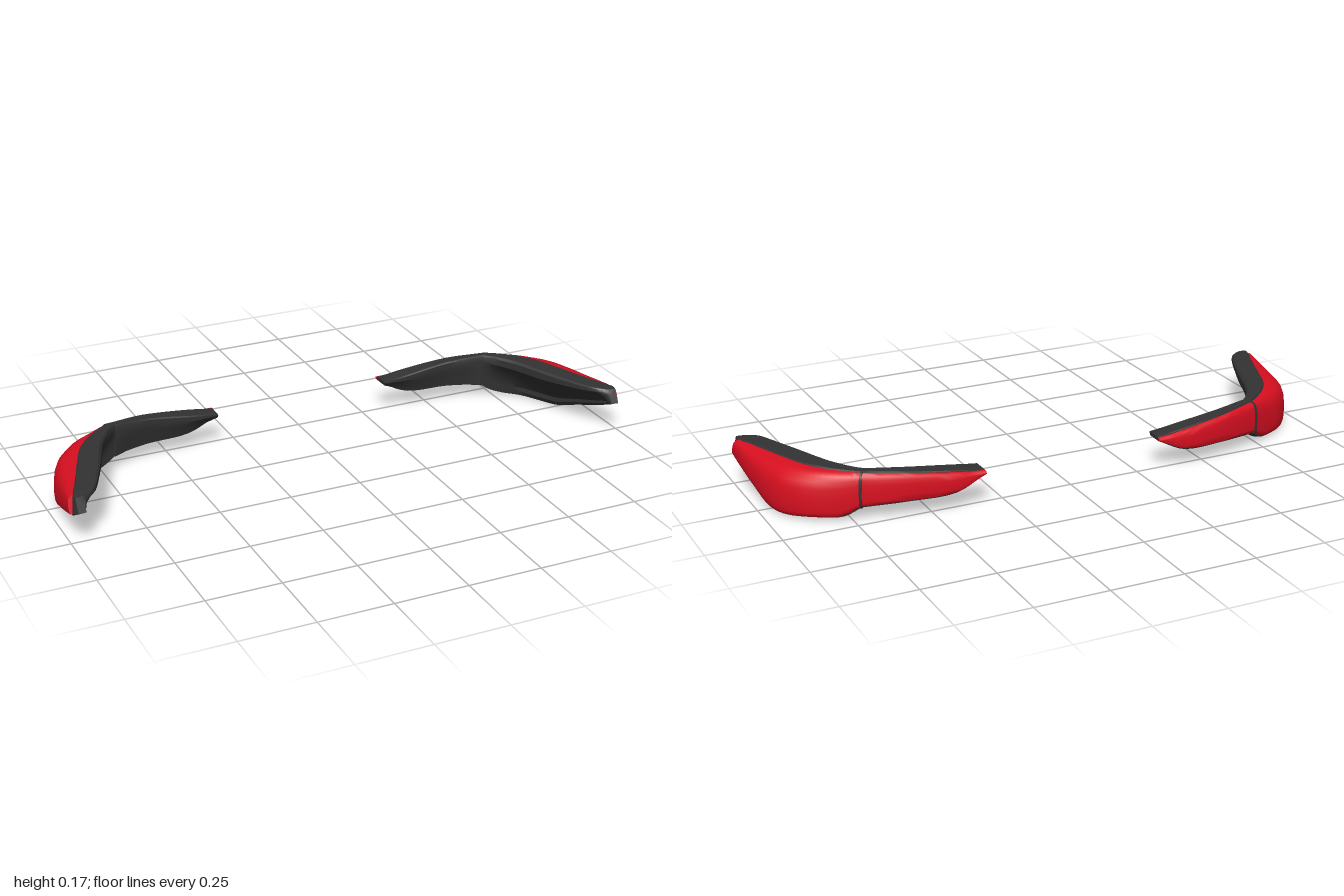
import * as THREE from 'three';
import { toCreasedNormals } from 'three/addons/utils/BufferGeometryUtils.js';

const red = new THREE.MeshStandardMaterial({ color: 0xd80f20 });
const dark = new THREE.MeshStandardMaterial({ color: 0x333333 });

// Stations along each light: [innerX, innerZ, outerX, outerZ, bottomY, topY, housing share of the depth]
const TAIL = [
  [0.32, -0.206, 0.318, -0.28, 0.107, 0.12, 0.8],
  [0.42, -0.206, 0.42, -0.282, 0.061, 0.134, 0.78],
  [0.57, -0.206, 0.59, -0.263, 0.054, 0.154, 0.74],
  [0.698, -0.186, 0.733, -0.225, 0.046, 0.165, 0.6],
];
const SEAL = [
  [0.695, -0.187, 0.729, -0.2285, 0.041, 0.167, 0.6],
  [0.699, -0.185, 0.737, -0.2265, 0.041, 0.167, 0.6],
];
const CORNER = [
  [0.698, -0.186, 0.733, -0.225, 0.045, 0.165, 0.6],
  [0.725, -0.16, 0.79, -0.2, 0.014, 0.166, 0.52],
  [0.768, -0.095, 0.88, -0.15, 0.006, 0.167, 0.48],
  [0.795, -0.035, 0.943, -0.08, 0.001, 0.167, 0.47],
  [0.82, 0.03, 0.97, -0.01, 0.008, 0.166, 0.48],
  [0.855, 0.115, 0.985, 0.085, 0.042, 0.165, 0.54],
  [0.886, 0.19, 0.995, 0.17, 0.074, 0.165, 0.62],
  [0.912, 0.238, 1.0, 0.243, 0.1, 0.165, 0.75],
];
const TIP = [0.95, 0.27, 0.98, 0.273, 0.117, 0.162, 1];

// Lens cross-section as [depth, height], running over the top, outward and down
const LENS = [[0, 1], [0.33, 0.98], [0.62, 0.92], [0.82, 0.81], [0.93, 0.65], [0.99, 0.45],
  [1, 0.26], [0.97, 0.12], [0.85, 0.035], [0.5, 0.005], [0, 0]];

// Smooth resampling of the stations
function resample(stations) {
  const steps = (stations.length - 1) * 5;
  const curve = (f) => new THREE.CatmullRomCurve3(stations.map(f));
  const inner = curve((s) => new THREE.Vector3(s[0], s[4], s[1]));
  const outer = curve((s) => new THREE.Vector3(s[2], s[5], s[3]));
  return Array.from({ length: steps + 1 }, (_, i) => {
    const u = i / steps, k = u * (stations.length - 1);
    const a = Math.min(Math.floor(k), stations.length - 2);
    const share = THREE.MathUtils.lerp(stations[a][6], stations[a + 1][6], k - a);
    return { u, p: inner.getPoint(u), q: outer.getPoint(u), share };
  });
}

// Seam between housing and lens, lying further out towards the bottom
const seam = (share, v) => share + (1 - share) * 0.6 * (1 - v);

// Point of a section: w goes from inner to outer edge, v from bottom to top; the front end leans back
function place({ p, q }, w, v, inset = 0) {
  const z = THREE.MathUtils.lerp(p.z, q.z, w);
  return new THREE.Vector3(
    THREE.MathUtils.lerp(p.x, q.x, w),
    THREE.MathUtils.lerp(p.y + inset, q.y - inset, v),
    z + Math.max(0, z - 0.1) * 0.15 * (0.5 - v));
}

// Closed skin over a row of rings, capped at both ends
function loft(rings, side, crease) {
  const n = rings[0].length, pos = [], index = [];
  const add = (v) => pos.push(v.x * side, v.y, v.z);
  const tri = (a, b, c) => (side > 0 ? index.push(a, b, c) : index.push(a, c, b));
  rings.forEach((r) => r.forEach(add));
  for (let i = 0; i < rings.length - 1; i++) {
    for (let j = 0; j < n; j++) {
      const a = i * n + j, b = i * n + (j + 1) % n;
      tri(a, a + n, b);
      tri(b, a + n, b + n);
    }
  }
  [0, rings.length - 1].forEach((r, end) => {
    const centre = new THREE.Vector3();
    rings[r].forEach((v) => centre.addScaledVector(v, 1 / n));
    const c = pos.length / 3;
    add(centre);
    for (let j = 0; j < n; j++) {
      const a = r * n + j, b = r * n + (j + 1) % n;
      if (end) tri(c, b, a); else tri(c, a, b);
    }
  });
  const g = new THREE.BufferGeometry();
  g.setAttribute('position', new THREE.Float32BufferAttribute(pos, 3));
  g.setIndex(index);
  return toCreasedNormals(g, crease);
}

function lens(stations, side) {
  const rings = resample(stations).map((s) => {
    const inset = Math.min(0.004, (s.q.y - s.p.y) * 0.1);
    return LENS.map(([d, v]) => {
      const start = seam(s.share, v) - 0.03;
      return place(s, start + d * (1 - start), v, inset);
    });
  });
  return loft(rings, side, 0.9);
}

// The inner face undercuts towards a narrow bottom edge; undercut and hollow fade out at the ends
function housing(stations, side, undercut, hollow) {
  const rings = resample(stations).map((s) => {
    const fade = Math.min(1, 2.5 * Math.sin(Math.PI * s.u));
    const foot = undercut * (0.3 + 0.7 * fade), h = hollow * fade;
    const outside = [0.96, 0.7, 0.4, 0.04].map((v) => [seam(s.share, v), v]);
    const profile = [[0.05, 1], [seam(s.share, 1) - 0.03, 1], ...outside,
      [seam(s.share, 0) - 0.03, 0], [foot, 0], [foot * 0.9, 0.1],
      [foot * 0.75 + h, 0.2], [foot * 0.4 + h, 0.5], [h, 0.72], [0, 0.8], [0, 0.95]];
    return profile.map(([w, v]) => place(s, w, v));
  });
  return loft(rings, side, 0.5);
}

export function createModel() {
  const model = new THREE.Group();
  model.name = 'tailLights';
  for (const [label, side] of [['left', 1], ['right', -1]]) {
    const light = new THREE.Group();
    light.name = label + 'TailLight';
    const part = (name, geometry, material) => {
      const mesh = new THREE.Mesh(geometry, material);
      mesh.name = label + name;
      light.add(mesh);
    };
    // Inner section
    part('InnerLens', lens(TAIL, side), red);
    part('InnerHousing', housing(TAIL, side, 0.3, 0), dark);
    // Thin strip where the two sections meet
    part('Seal', lens(SEAL, side), dark);
    // Wrap-around corner section, its housing running on past the lens
    part('CornerLens', lens(CORNER, side), red);
    part('CornerHousing', housing([...CORNER, TIP], side, 0.6, 0.1), dark);
    model.add(light);
  }
  return model;
}
